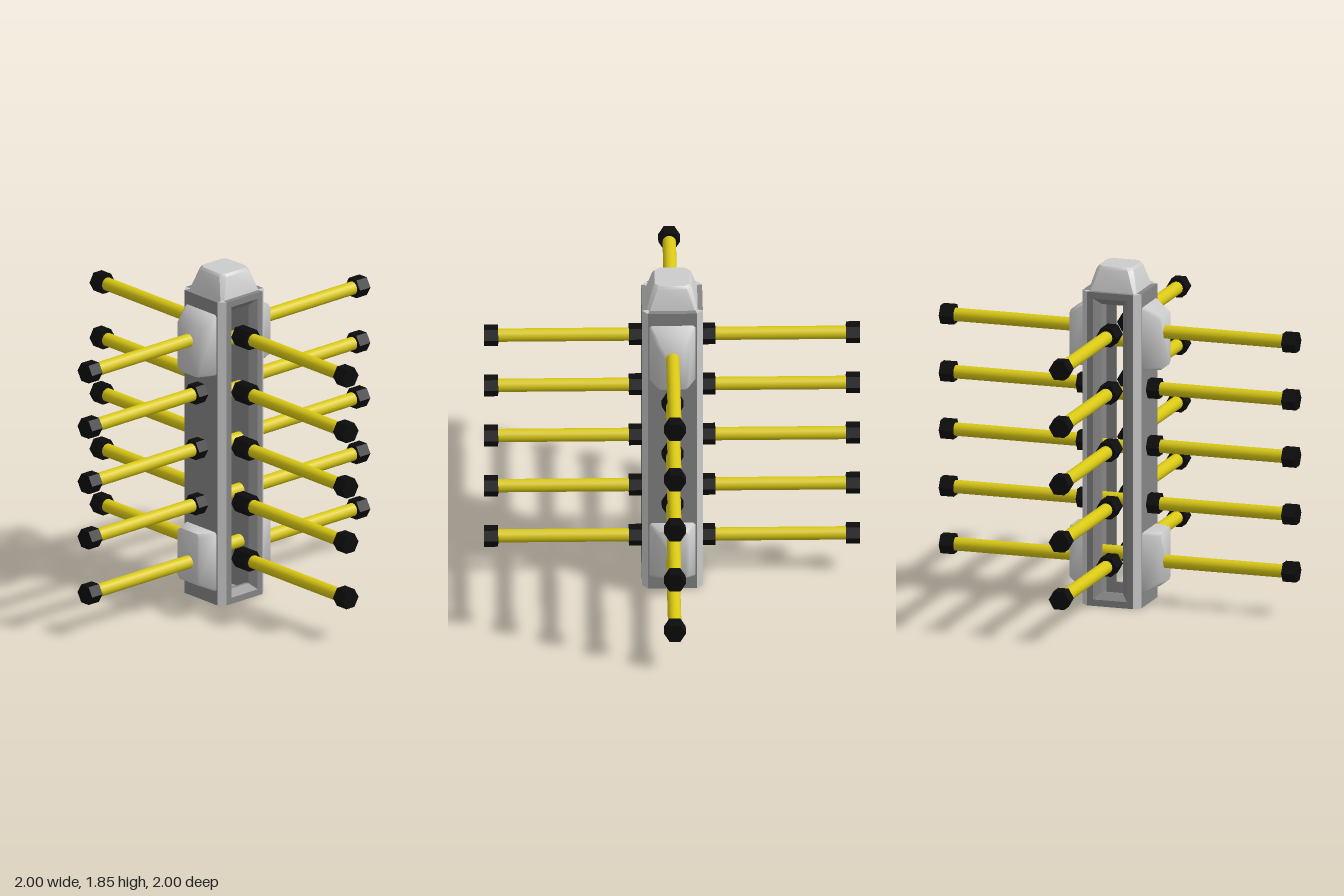
import * as THREE from 'three';
import { toCreasedNormals } from 'three/addons/utils/BufferGeometryUtils.js';

const paint = (color) => new THREE.MeshStandardMaterial({ color });
const light = paint(0xcccccc), dark = paint(0x858585);
const yellow = paint(0xd9c814), black = paint(0x0c0c0c);
const H = 1.72;

function add(parent, name, geometry, material, turn = 0) {
  const mesh = new THREE.Mesh(geometry, material);
  mesh.name = name;
  mesh.rotation.y = turn;
  parent.add(mesh);
  return mesh;
}

// Rectangle with cut corners at height h
function ring(h, x0, x1, z0, z1, c) {
  return [[x1, z0 + c], [x1, z1 - c], [x1 - c, z1], [x0 + c, z1],
    [x0, z1 - c], [x0, z0 + c], [x0 + c, z0], [x1 - c, z0]].map(([x, z]) => [x, h, z]);
}

// Closed solid through a stack of rings
function loft(rings, crease) {
  const n = 8, index = [], last = (rings.length - 1) * n;
  for (let r = 0; r < rings.length - 1; r++) {
    for (let i = 0; i < n; i++) {
      const a = r * n + i, b = r * n + (i + 1) % n, c = b + n, d = a + n;
      index.push(a, d, c, a, c, b);
    }
  }
  for (let i = 1; i < n - 1; i++) index.push(0, i, i + 1, last, last + i + 1, last + i);
  const g = new THREE.BufferGeometry();
  g.setAttribute('position', new THREE.Float32BufferAttribute(rings.flat(2), 3));
  g.setIndex(index);
  return toCreasedNormals(g, crease);
}

function prism(points, depth) {
  const shape = new THREE.Shape(points.map(([x, y]) => new THREE.Vector2(x, y)));
  return new THREE.ExtrudeGeometry(shape, { depth, bevelEnabled: false });
}

// Cylinder lying along x from a to b
function bar(radius, a, b, sides) {
  return new THREE.CylinderGeometry(radius, radius, b - a, sides)
    .rotateZ(-Math.PI / 2).translate((a + b) / 2, 0, 0);
}

export function createModel() {
  const model = new THREE.Group();

  // Hollow column: two channel-shaped walls with light corner strips
  const wall = prism([[0.095, 0.162], [0.13, 0.162], [0.12, 0.12], [0.165, 0.13],
    [0.165, -0.13], [0.12, -0.12], [0.13, -0.162], [0.095, -0.162], [0.06, -0.127],
    [0.06, -0.11], [0.115, -0.11], [0.115, 0.11], [0.06, 0.11], [0.06, 0.127]], H)
    .rotateX(-Math.PI / 2);
  for (const turn of [0, Math.PI]) {
    add(model, 'sideWall', wall, dark, turn);
    for (const s of [1, -1]) {
      const strip = prism([[0.13, 0.162 * s], [0.165, 0.13 * s], [0.12, 0.12 * s]], H);
      add(model, 'cornerStrip', strip.rotateX(-Math.PI / 2), light, turn);
    }
    // Bevelled bars closing the slot at bottom and top
    for (const top of [false, true]) {
      const points = [[0.162, 0], [0.162, 0.035], [0.127, 0.07], [0.11, 0.07], [0.11, 0]]
        .map(([z, y]) => [z, top ? H - y : y]);
      const rail = prism(points, 0.19).rotateY(-Math.PI / 2).translate(0.095, 0, 0);
      add(model, 'slotEndBar', rail, dark, turn);
    }
  }
  add(model, 'topPlate', loft([
    ring(H - 0.04, -0.128, 0.128, -0.128, 0.128, 0.03),
    ring(H, -0.128, 0.128, -0.128, 0.128, 0.03)], 0.2), dark);

  // Tapered cap
  add(model, 'cap', loft([
    ring(H, -0.135, 0.135, -0.135, 0.135, 0.015),
    ring(1.835, -0.103, 0.103, -0.103, 0.103, 0.025),
    ring(1.85, -0.092, 0.092, -0.092, 0.092, 0.025)], 0.7), light);

  // Side pods at top and bottom: inner y range, then outer y range
  for (const [y0, y1, Y0, Y1] of [[1.3, 1.645, 1.3, 1.59], [0.075, 0.41, 0.12, 0.41]]) {
    const pod = loft([
      ring(0.14, -y1, -y0, -0.123, 0.123, 0.012),
      ring(0.165, -y1, -y0, -0.123, 0.123, 0.012),
      ring(0.255, -Y1, -Y0, -0.088, 0.088, 0.02)], 1.25).rotateZ(-Math.PI / 2);
    for (const turn of [0, Math.PI]) add(model, 'sidePod', pod, light, turn);
  }

  // Five levels of four arms, each with hexagonal socket and tip
  const rod = bar(0.036, 0.15, 0.94, 16);
  const tip = toCreasedNormals(bar(0.058, 0.925, 1, 6), 0.2);
  const socket = toCreasedNormals(bar(0.058, 0.12, 0.23, 6), 0.2);
  const innerRod = bar(0.036, -0.13, 0.13, 16);
  for (let level = 0; level < 5; level++) {
    const y = 0.235 + level * 0.3145;
    for (let side = 0; side < 4; side++) {
      const arm = new THREE.Group();
      arm.name = 'arm';
      arm.position.y = y;
      arm.rotation.y = side * Math.PI / 2;
      add(arm, 'rod', rod, yellow);
      add(arm, 'tip', tip, black);
      const onPod = side % 2 === 0 && level % 4 === 0;
      if (!onPod) add(arm, 'socket', socket, black);
      model.add(arm);
    }
    // Cross rod inside the column
    add(model, 'innerRod', innerRod, yellow).position.y = 0.264 + level * 0.291;
  }
  return model;
}
